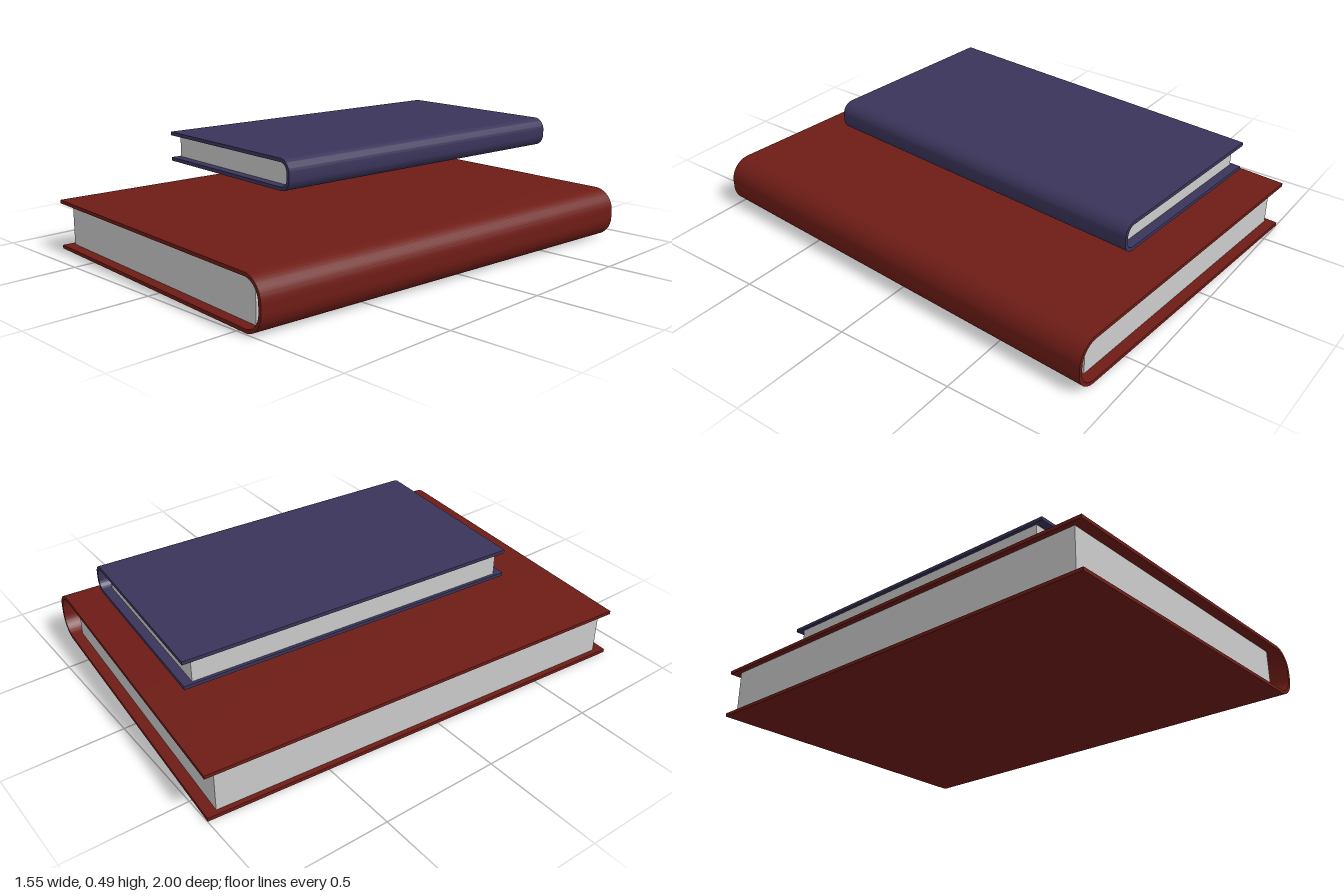
import * as THREE from 'three';
import { toCreasedNormals } from 'three/addons/utils/BufferGeometryUtils.js';

const BOARD = 0.0145; // cover thickness

// C-shaped section of a cover: two boards joined by a rounded spine on +x
function coverShape(width, height, radius) {
  const w = width / 2, h = height / 2, t = BOARD, r = radius, ri = radius - t;
  const s = new THREE.Shape();
  s.moveTo(-w, -h);
  s.lineTo(w - r, -h);
  s.absarc(w - r, -h + r, r, -Math.PI / 2, 0, false);
  s.absarc(w - r, h - r, r, 0, Math.PI / 2, false);
  s.lineTo(-w, h);
  s.lineTo(-w, h - t);
  s.lineTo(w - r, h - t);
  s.absarc(w - r, h - r, ri, Math.PI / 2, 0, true);
  s.absarc(w - r, -h + r, ri, 0, -Math.PI / 2, true);
  s.lineTo(-w, -h + t);
  s.closePath();
  return s;
}

function createBook({ name, width, height, length, radius, inset, endInset, color }) {
  const book = new THREE.Group();
  book.name = name;

  // Cover with smooth spine and crisp edges
  const extruded = new THREE.ExtrudeGeometry(coverShape(width, height, radius), {
    depth: length, bevelEnabled: false, curveSegments: 12,
  });
  extruded.translate(0, 0, -length / 2);
  const cover = new THREE.Mesh(
    toCreasedNormals(extruded, Math.PI / 6),
    new THREE.MeshStandardMaterial({ color }),
  );
  cover.name = 'cover';

  // Page block, leaving the hollow of the spine open
  const left = -width / 2 + inset, right = width / 2 - radius;
  const pages = new THREE.Mesh(
    new THREE.BoxGeometry(right - left, height - 2 * BOARD, length - 2 * endInset),
    new THREE.MeshStandardMaterial({ color: 0xcccccc }),
  );
  pages.name = 'pages';
  pages.position.x = (left + right) / 2;

  book.add(cover, pages);
  book.rotation.y = -0.078;
  return book;
}

export function createModel() {
  const model = new THREE.Group();
  model.name = 'books';

  const large = createBook({
    name: 'largeBook', width: 1.404, height: 0.21, length: 1.895,
    radius: 0.09, inset: 0.022, endInset: 0.045, color: 0x6e1c16,
  });
  large.position.set(0, 0.105, 0);

  // Smaller book hovering above the large one
  const small = createBook({
    name: 'smallBook', width: 0.797, height: 0.122, length: 1.445,
    radius: 0.05, inset: 0.013, endInset: 0.038, color: 0x3a345a,
  });
  small.position.set(-0.02, 0.43, -0.157);

  model.add(large, small);
  return model;
}
